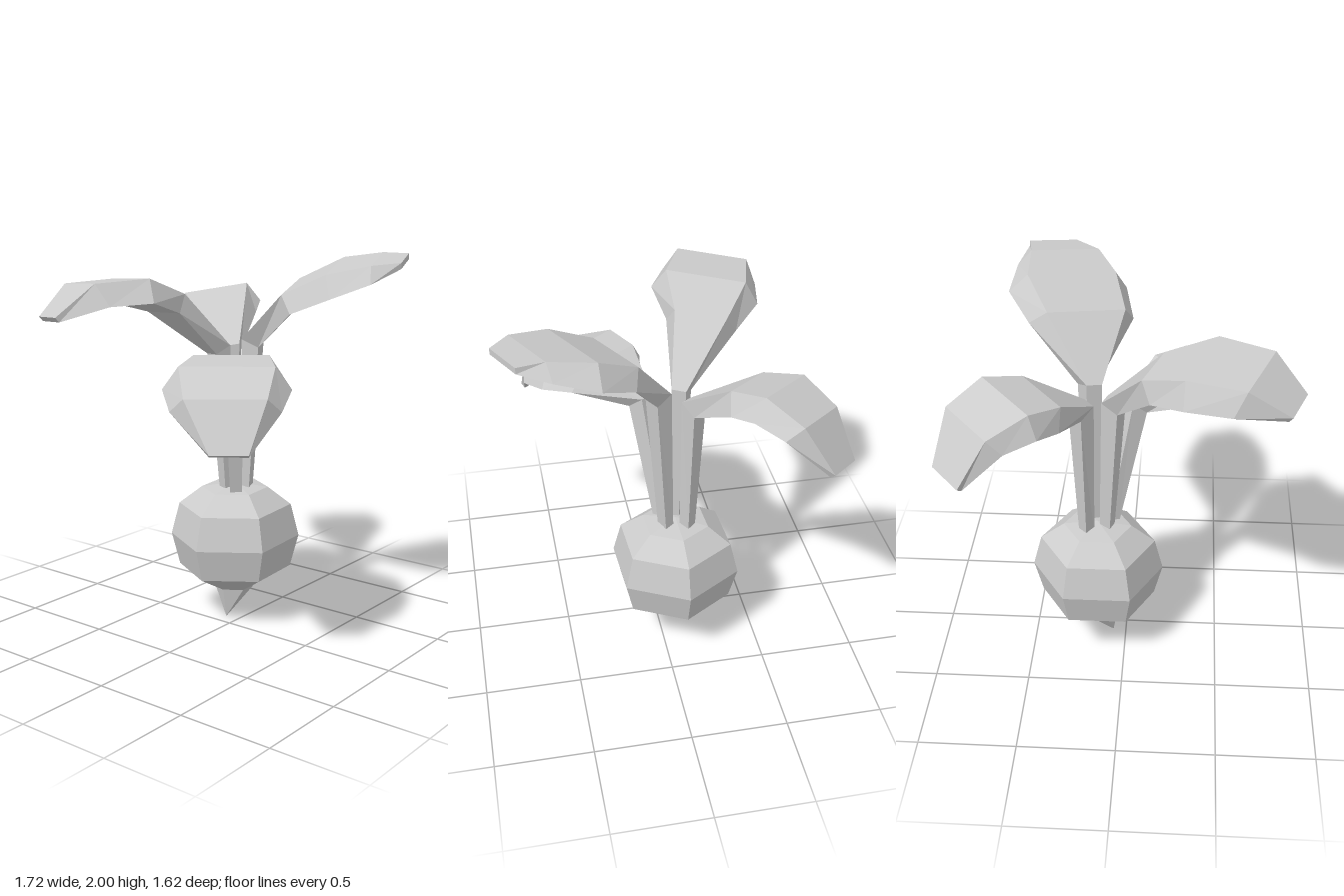
import * as THREE from 'three';

const material = new THREE.MeshStandardMaterial({ color: 0xcccccc, flatShading: true });

// Leaf sections run from the stem base to the blade tip:
// [x, y, z of the upper centre, half width at the rim, drop to the rim]
const leaves = [
  { name: 'backRightLeaf', dir: [-0.93, -0.37], roll: -0.08, sections: [
    [0.13, 0.7, -0.08, 0.03, 0.06], [0.105, 1.51, -0.10, 0.05, 0.10], [-0.14, 1.79, -0.26, 0.18, 0.11],
    [-0.37, 1.88, -0.335, 0.28, 0.12], [-0.64, 1.87, -0.43, 0.25, 0.12], [-0.82, 1.72, -0.475, 0.105, 0.03]] },
  { name: 'frontRightLeaf', dir: [-0.8, 0.6], roll: 0, sections: [
    [0.11, 0.7, -0.04, 0.03, 0.06], [-0.01, 1.42, 0.04, 0.05, 0.10], [-0.24, 1.53, 0.20, 0.25, 0.10],
    [-0.43, 1.51, 0.32, 0.31, 0.12], [-0.62, 1.40, 0.46, 0.26, 0.10], [-0.715, 1.17, 0.555, 0.09, 0.03]] },
  { name: 'backLeftLeaf', dir: [0.72, -0.70], roll: 0.15, sections: [
    [0.18, 0.7, -0.11, 0.03, 0.06], [0.18, 1.50, -0.12, 0.05, 0.10], [0.38, 1.70, -0.37, 0.20, 0.11],
    [0.53, 1.75, -0.51, 0.24, 0.11], [0.695, 1.67, -0.635, 0.21, 0.09], [0.79, 1.44, -0.74, 0.10, 0.03]] },
  { name: 'frontLeftLeaf', dir: [0.37, 0.93], roll: -0.11, sections: [
    [0.17, 0.7, -0.05, 0.04, 0.05], [0.16, 1.55, -0.03, 0.055, 0.10], [0.215, 1.83, 0.23, 0.28, 0.10],
    [0.305, 1.94, 0.44, 0.32, 0.11], [0.36, 1.98, 0.65, 0.25, 0.08], [0.435, 1.985, 0.765, 0.13, 0.03]] },
];

// Lofts a four-cornered section (flat top, flared rims, flat underside) along the leaf
function leafGeometry({ dir, roll, sections }) {
  const side = new THREE.Vector3(-dir[1], roll, dir[0]).normalize();
  const centres = sections.map((s) => new THREE.Vector3(s[0], s[1], s[2]));
  const last = sections.length - 1;
  const tangentTo = (a, b) => centres[b].clone().sub(centres[a]).normalize();
  const rings = sections.map(([, , , half, drop], i) => {
    const tangent = tangentTo(Math.max(i - 1, 0), Math.max(i, 1))
      .add(tangentTo(Math.min(i, last - 1), Math.min(i + 1, last))).normalize();
    const down = tangent.clone().cross(side).normalize();
    const corner = (w, d) => centres[i].clone().addScaledVector(side, w).addScaledVector(down, d);
    const top = half * (i === last ? 1 : 0.74);
    return [corner(-top, 0), corner(top, 0), corner(half, drop), corner(-half, drop)];
  });
  const points = [];
  for (let i = 0; i < last; i++) {
    for (let j = 0; j < 4; j++) {
      const k = (j + 1) % 4;
      const [a, b, c, d] = [rings[i][j], rings[i][k], rings[i + 1][j], rings[i + 1][k]];
      points.push(a, b, c, b, d, c);
    }
  }
  // End caps
  for (const j of [1, 2]) {
    points.push(rings[last][0], rings[last][j], rings[last][j + 1]);
    points.push(rings[0][0], rings[0][j + 1], rings[0][j]);
  }
  const geometry = new THREE.BufferGeometry().setFromPoints(points);
  geometry.computeVertexNormals();
  return geometry;
}

// Six-sided bulb whose root tip bends to one side
function bulbGeometry() {
  const profile = [[0, 0.003], [0.11, 0.17], [0.305, 0.285], [0.35, 0.46], [0.305, 0.635], [0.18, 0.73], [0, 0.755]]
    .map(([r, y]) => new THREE.Vector2(r, y));
  const lathe = new THREE.LatheGeometry(profile, 6, Math.PI / 2);
  const position = lathe.attributes.position;
  for (let i = 0; i < position.count; i++) {
    const y = position.getY(i);
    if (y < 0.05) position.setX(i, position.getX(i) - 0.08);
    else position.setY(i, y + position.getX(i) * 0.03);
  }
  const geometry = lathe.toNonIndexed();
  geometry.computeVertexNormals();
  return geometry;
}

export function createModel() {
  const model = new THREE.Group();
  model.name = 'rootVegetable';

  const bulb = new THREE.Mesh(bulbGeometry(), material);
  bulb.name = 'bulb';
  bulb.position.set(0.15, 0, -0.08);
  bulb.rotation.y = 0.04;
  model.add(bulb);

  for (const leaf of leaves) {
    const mesh = new THREE.Mesh(leafGeometry(leaf), material);
    mesh.name = leaf.name;
    model.add(mesh);
  }
  return model;
}
